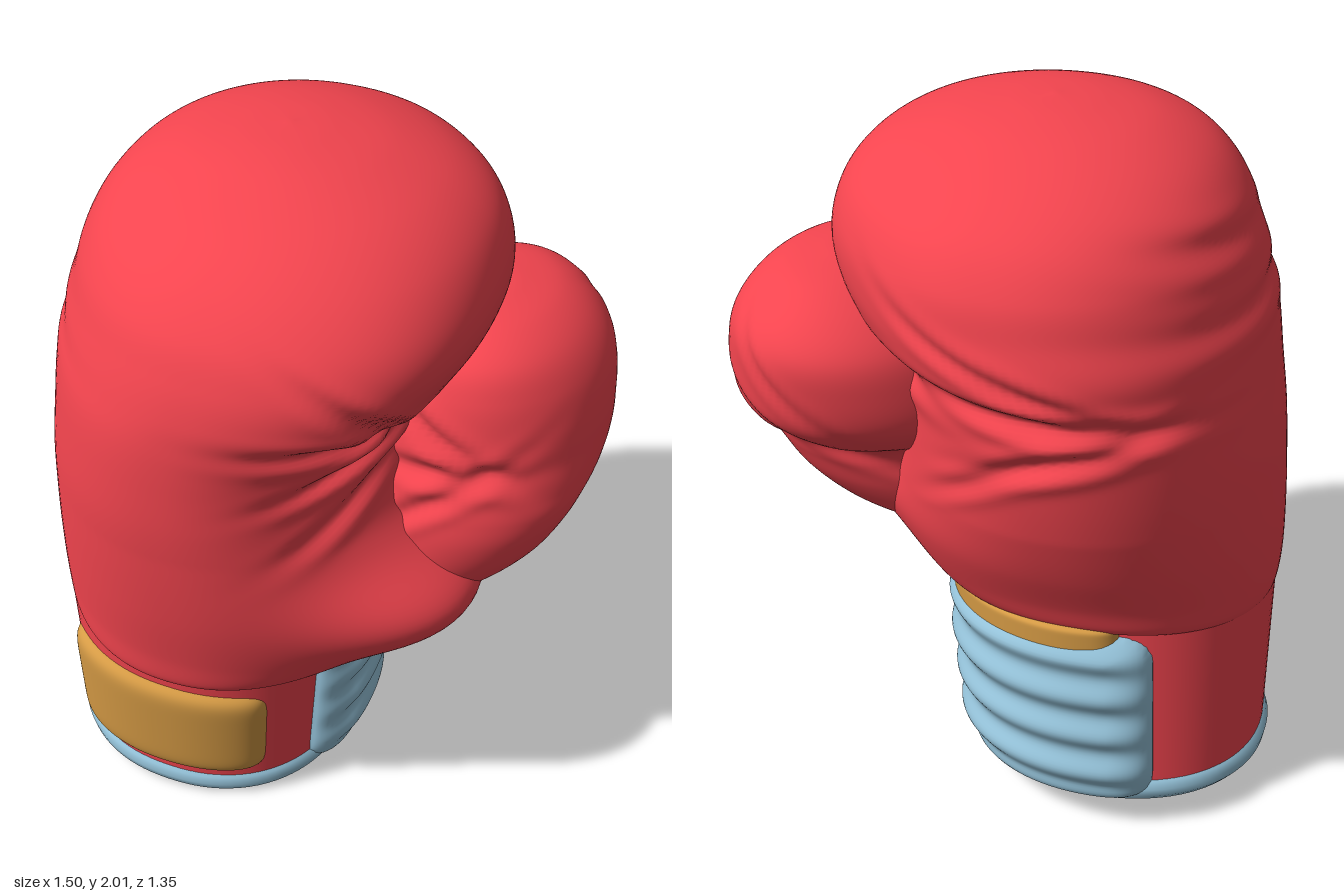
import * as THREE from 'three';
import { mergeVertices } from 'three/addons/utils/BufferGeometryUtils.js';

const RED = 0xf5454f, BLUE = 0x96c4db, ORANGE = 0xd69b45;
const rad = THREE.MathUtils.degToRad;
const lerp = THREE.MathUtils.lerp;
const gauss = t => Math.exp(-t * t);
const round = (t, power) => Math.sign(t) * Math.pow(Math.abs(t), 2 / power);

function part(name, geometry, color, side = THREE.FrontSide) {
  const mesh = new THREE.Mesh(geometry, new THREE.MeshStandardMaterial({ color, side }));
  mesh.name = name;
  return mesh;
}

// Grid surface from fn(u, v, target); wrap closes it around u
function surface(fn, nu, nv, wrap) {
  const pos = [], idx = [], p = new THREE.Vector3();
  const cols = wrap ? nu : nu + 1;
  for (let j = 0; j <= nv; j++)
    for (let i = 0; i < cols; i++) {
      fn(i / nu, j / nv, p);
      pos.push(p.x, p.y, p.z);
    }
  for (let j = 0; j < nv; j++)
    for (let i = 0; i < nu; i++) {
      const a = j * cols + i, b = j * cols + (i + 1) % cols;
      idx.push(a, a + cols, b, b, a + cols, b + cols);
    }
  let geo = new THREE.BufferGeometry();
  geo.setAttribute('position', new THREE.Float32BufferAttribute(pos, 3));
  geo.setIndex(idx);
  geo = mergeVertices(geo, 1e-5);
  geo.computeVertexNormals();
  return geo;
}

// Smooth loft through rows [y, xMin, xMax, zMin, zMax], shaped by
// bulges [angle, spread, y, amount, height] and creases [angle, spread, y, slope, depth, width]
function loft(rows, bulges, creases, power, tilt, nu, nv) {
  const curve = k => new THREE.CatmullRomCurve3(
    rows.map(r => new THREE.Vector3(r[0], r[k], r[k + 1])), false, 'catmullrom');
  const cx = curve(1), cz = curve(3);
  const ex = new THREE.Vector3(), ez = new THREE.Vector3();
  return surface((u, v, p) => {
    cx.getPoint(v, ex);
    cz.getPoint(v, ez);
    const a = u * Math.PI * 2, y = ex.x;
    const turn = deg => Math.atan2(Math.sin(a - rad(deg)), Math.cos(a - rad(deg)));
    let k = 1;
    for (const [ang, spread, y0, amount, height] of bulges)
      k += amount * gauss(turn(ang) / rad(spread)) * gauss((y - y0) / height);
    for (const [ang, spread, y0, slope, depth, width] of creases) {
      const d = turn(ang), off = (y - y0 - slope * d) / width;
      k += depth * gauss(d / rad(spread)) * (0.45 * gauss(Math.abs(off) - 1.9) - gauss(off));
    }
    p.x = (ex.y + ex.z) / 2 + (ex.z - ex.y) / 2 * round(Math.cos(a), power) * k;
    p.z = (ez.y + ez.z) / 2 + (ez.z - ez.y) / 2 * round(Math.sin(a), power) * k;
    p.y = y - tilt * p.z * THREE.MathUtils.clamp((1.05 - y) / 0.45, 0, 1);
  }, nu, nv, true);
}

// Point on the cuff wall at an angle and height, pushed out by off
function cuffPoint(a, y, off, p) {
  const t = y / 0.6;
  const x0 = -0.735, x1 = lerp(0.06, 0.125, t), z0 = lerp(-0.37, -0.385, t), z1 = lerp(0.425, 0.5, t);
  return p.set((x0 + x1) / 2 + ((x1 - x0) / 2 + off) * round(Math.cos(a), 2.2), y,
    (z0 + z1) / 2 + ((z1 - z0) / 2 + off) * round(Math.sin(a), 2.2));
}
const bottomY = p => 0.063 - 0.1 * (p.z - 0.05) - 0.05 * (p.x + 0.32);

// Padded panel lying on the cuff, with rounded corners
function panel(a0, a1, height, thick, ridge) {
  return surface((u, v, p) => {
    const a = rad(lerp(a0, a1, u));
    const du = Math.abs(2 * u - 1), dv = Math.abs(2 * v - 1);
    const inside = Math.sqrt(Math.max(0, 1 - Math.pow(du, 8) - Math.pow(dv, 8)));
    const puff = ridge * Math.cos(v * Math.PI * 9) * Math.min(1, 4 * (1 - du), 4 * (1 - dv));
    cuffPoint(a, 0.3, 0, p);
    cuffPoint(a, height(u, v, p), -0.03 + (thick + 0.03 + puff) * inside, p);
  }, 72, 64, false);
}

// Rolled rim along the bottom of the cuff
function rimGeometry() {
  const pts = [];
  for (let i = 0; i < 32; i++) {
    const p = new THREE.Vector3(), a = i / 32 * Math.PI * 2;
    cuffPoint(a, 0.1, -0.03, p);
    pts.push(cuffPoint(a, bottomY(p) + 0.01, -0.03, p));
  }
  return new THREE.TubeGeometry(new THREE.CatmullRomCurve3(pts, true), 96, 0.046, 12, true);
}

export function createModel() {
  const g = new THREE.Group();
  g.name = 'boxingGlove';

  // Hand with the rolled-over finger padding
  const handRows = [
    [0.68, -0.60, 0.00, -0.28, 0.38], [0.605, -0.70, 0.13, -0.38, 0.49],
    [0.61, -0.735, 0.20, -0.42, 0.53], [0.70, -0.75, 0.27, -0.455, 0.555],
    [0.85, -0.75, 0.31, -0.52, 0.60], [1.00, -0.742, 0.31, -0.57, 0.635],
    [1.15, -0.73, 0.30, -0.61, 0.66], [1.30, -0.71, 0.30, -0.64, 0.672],
    [1.42, -0.695, 0.34, -0.655, 0.677], [1.52, -0.68, 0.43, -0.685, 0.675],
    [1.62, -0.65, 0.475, -0.67, 0.658], [1.72, -0.62, 0.47, -0.645, 0.62],
    [1.82, -0.57, 0.42, -0.575, 0.54], [1.90, -0.49, 0.32, -0.455, 0.43],
    [1.96, -0.37, 0.17, -0.30, 0.28], [1.99, -0.23, 0.02, -0.15, 0.15],
    [2.00, -0.1, -0.1, 0, 0]
  ];
  // trimmed diagonals, full finger corner, and the swell running into the thumb
  const handBulges = [
    [-48, 35, 1.65, -0.09, 0.5], [132, 35, 1.3, -0.04, 0.8],
    [42, 28, 1.58, 0.075, 0.26], [14, 29, 0.84, 0.4, 0.17]
  ];
  const handCreases = [
    // pinch on the back edge
    [-95, 36, 1.41, 0.05, 0.04, 0.026], [-98, 26, 1.31, -0.15, 0.028, 0.026],
    [-90, 26, 1.52, 0.25, 0.022, 0.026], [-75, 20, 1.21, -0.3, 0.02, 0.028],
    // folds beside the thumb
    [36, 24, 1.43, 0.03, 0.055, 0.026], [34, 18, 1.33, -0.15, 0.045, 0.025],
    [44, 20, 1.52, 0.35, 0.03, 0.025], [32, 18, 1.20, -0.3, 0.03, 0.03],
    // palm fold under the fingers and knuckle steps
    [-15, 35, 1.40, 0, 0.07, 0.035], [185, 35, 1.56, 0.05, 0.02, 0.03], [200, 30, 1.75, 0.1, 0.02, 0.03]
  ];
  g.add(part('hand', loft(handRows, handBulges, handCreases, 2.15, 0.18, 144, 170), RED));

  // Thumb rising from the palm, hooked at its tip
  const thumbRows = [
    [0.70, -0.12, 0.16, -0.04, 0.16], [0.71, -0.10, 0.26, -0.10, 0.20],
    [0.76, -0.06, 0.42, -0.16, 0.23], [0.83, 0.00, 0.54, -0.22, 0.26],
    [0.92, 0.02, 0.635, -0.27, 0.275], [1.01, 0.05, 0.69, -0.30, 0.28],
    [1.08, 0.04, 0.72, -0.33, 0.275], [1.14, 0.03, 0.74, -0.42, 0.265],
    [1.22, 0.02, 0.75, -0.49, 0.25], [1.33, 0.05, 0.745, -0.52, 0.24],
    [1.43, 0.10, 0.72, -0.52, 0.22], [1.51, 0.18, 0.665, -0.46, 0.18],
    [1.565, 0.28, 0.585, -0.36, 0.09], [1.59, 0.36, 0.49, -0.22, -0.02],
    [1.595, 0.42, 0.42, -0.12, -0.12]
  ];
  const thumbCreases = [
    [95, 35, 1.33, 0.2, 0.05, 0.026], [90, 30, 1.22, 0, 0.045, 0.026], [95, 30, 1.11, -0.25, 0.04, 0.03],
    [-75, 40, 1.12, 0.15, 0.04, 0.035], [-70, 30, 1.33, 0.3, 0.025, 0.03]
  ];
  g.add(part('thumb', loft(thumbRows, [[-45, 30, 1.3, -0.04, 0.4]], thumbCreases, 2.05, 0.12, 96, 120), RED));

  // Wrist cuff: outer wall, lining and its inner end
  const wall = (off, top) => surface((u, v, p) => {
    const a = u * Math.PI * 2;
    cuffPoint(a, 0.05, off, p);
    cuffPoint(a, lerp(bottomY(p), top(p), v), off, p);
  }, 96, 16, true);
  g.add(part('cuff', wall(0, p => 0.66 - 0.18 * p.z), RED));
  g.add(part('lining', wall(-0.06, () => 0.5), ORANGE, THREE.DoubleSide));
  const end = part('liningEnd', new THREE.CircleGeometry(1, 48).rotateX(Math.PI / 2).scale(0.38, 1, 0.4), ORANGE);
  end.position.set(-0.31, 0.48, 0.05);
  g.add(end);
  g.add(part('rim', rimGeometry(), BLUE));

  // Ribbed wrist strap wrapping the palm side and back edge
  g.add(part('strap', panel(-112, 28, (u, v, p) => lerp(0.025, 0.61, v) - 0.15 * p.z, 0.066, 0.012), BLUE));

  // Trim showing between strap and hand
  g.add(part('trim', panel(-100, 5, (u, v, p) => lerp(0.54, 0.64, v) - 0.15 * p.z, 0.055, 0), ORANGE));

  // Front patch
  g.add(part('patch', panel(48, 143, (u, v) => lerp(0.08 + 0.02 * u, lerp(0.42, 0.49, u), v), 0.03, 0), ORANGE));

  // Small worn spot at the thumb base
  const spot = part('thumbSpot', new THREE.SphereGeometry(1, 24, 16), ORANGE);
  spot.scale.set(0.025, 0.05, 0.1);
  spot.position.set(0.365, 0.685, 0.1);
  spot.rotation.z = -0.8;
  g.add(spot);

  return g;
}
